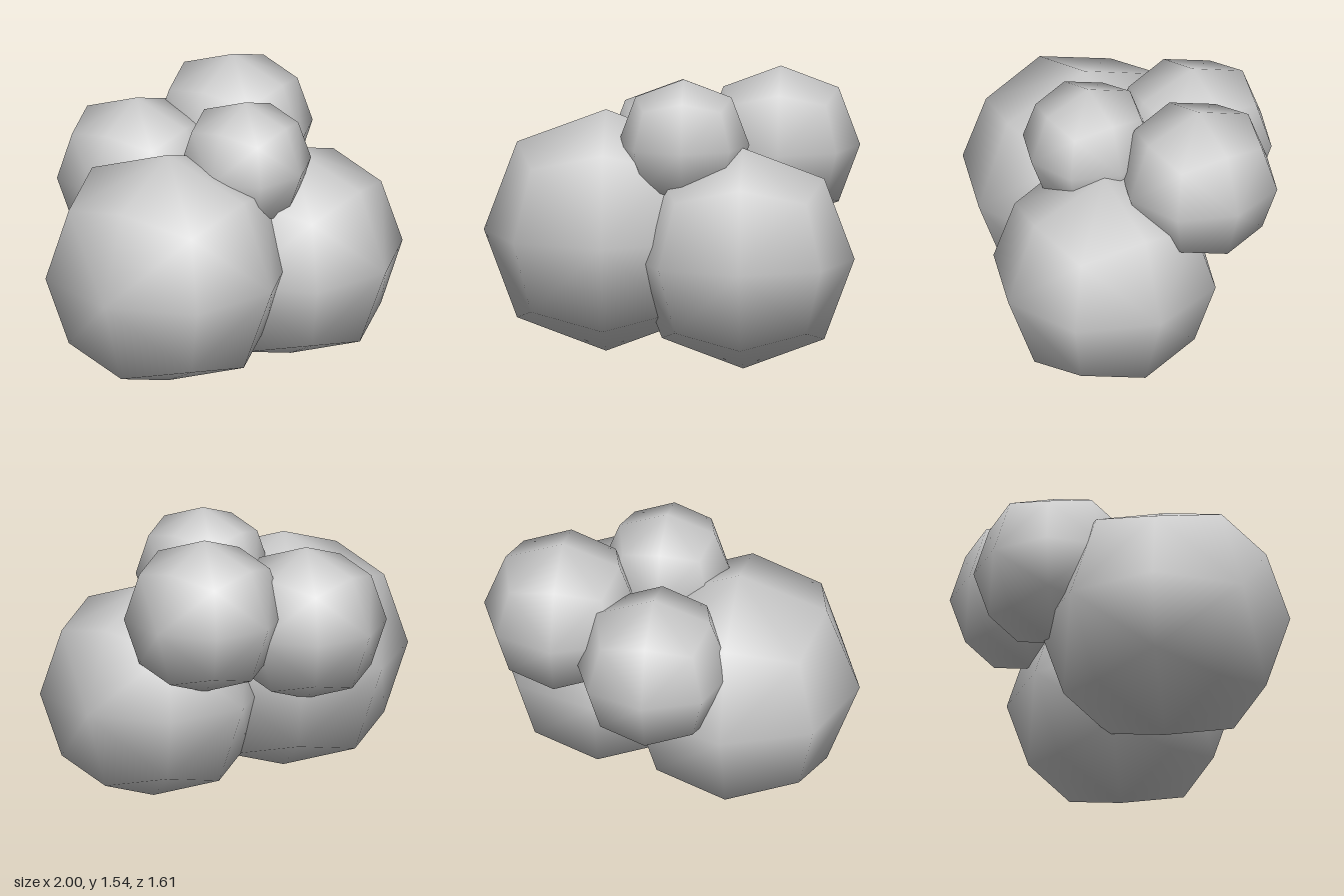
import * as THREE from 'three';
import { ConvexGeometry } from 'three/addons/geometries/ConvexGeometry.js';
import { mergeVertices } from 'three/addons/utils/BufferGeometryUtils.js';

// Low-poly ball: a cube cut 2 x 2 per face and rounded, unit radius at face centres
function createBallGeometry() {
  const reach = [0, 1, 0.728, 0.589]; // face centre, edge middle, corner
  const points = [];
  for (let x = -1; x <= 1; x++)
    for (let y = -1; y <= 1; y++)
      for (let z = -1; z <= 1; z++) {
        const n = Math.abs(x) + Math.abs(y) + Math.abs(z);
        if (n > 0) points.push(new THREE.Vector3(x, y, z).multiplyScalar(reach[n]));
      }
  let geometry = new ConvexGeometry(points);
  geometry.deleteAttribute('normal');
  geometry = mergeVertices(geometry);
  geometry.computeVertexNormals();
  return geometry;
}

export function createModel() {
  const group = new THREE.Group();
  group.name = 'ballCluster';
  const geometry = createBallGeometry();
  const material = new THREE.MeshStandardMaterial({ color: 0xcccccc });

  // name, centre x, y, z, radius
  const balls = [
    ['largeRightBall', -0.37, 0.682, 0.17, 0.642],
    ['largeLeftBall', 0.42, 0.586, 0.095, 0.586],
    ['smallFrontBall', 0.1, 1.175, 0.167, 0.346],
    ['backLeftBall', 0.36, 1.12, -0.4, 0.416],
    ['backRightBall', -0.233, 1.0, -0.393, 0.416],
  ];
  for (const [name, x, y, z, radius] of balls) {
    const ball = new THREE.Mesh(geometry, material);
    ball.name = name;
    ball.position.set(x, y, z);
    ball.rotation.y = THREE.MathUtils.degToRad(28);
    ball.scale.setScalar(radius);
    group.add(ball);
  }
  return group;
}
